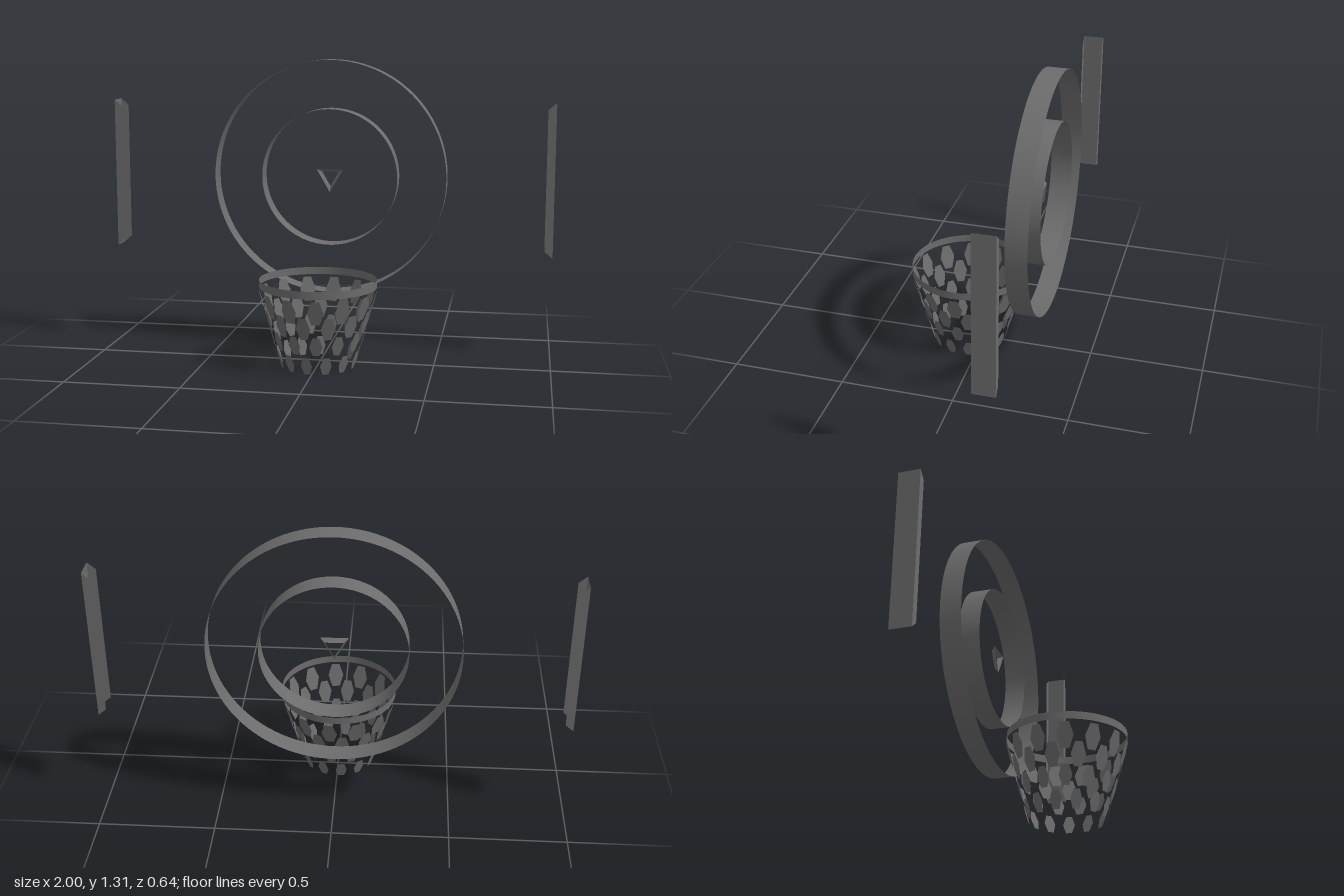
import * as THREE from 'three';

const GREY = 0x6c6c6c;
const smooth = new THREE.MeshStandardMaterial({ color: GREY, side: THREE.DoubleSide });
const faceted = new THREE.MeshStandardMaterial({ color: GREY, side: THREE.DoubleSide, flatShading: true });

function add(parent, name, geometry, material, x = 0, y = 0, z = 0) {
  const mesh = new THREE.Mesh(geometry, material);
  mesh.name = name;
  mesh.position.set(x, y, z);
  parent.add(mesh);
  return mesh;
}

function addGroup(parent, name) {
  const group = new THREE.Group();
  group.name = name;
  parent.add(group);
  return group;
}

// Thin open band around the y axis
const band = (radius, depth) => new THREE.CylinderGeometry(radius, radius, depth, 96, 1, true);

const FRONT = -0.228, BACK = -0.321, MID = (FRONT + BACK) / 2, DEPTH = FRONT - BACK;
const CENTRE_Y = 0.785;
const BASKET_Z = 0.065;

// Upright rings with a small tapered triangle in the middle
function addTarget(root) {
  const target = addGroup(root, 'target');
  for (const [name, radius] of [['outerRing', 0.527], ['innerRing', 0.308]]) {
    add(target, name, band(radius, DEPTH).rotateX(Math.PI / 2), smooth, 0, CENTRE_Y, MID);
  }
  const triangle = new THREE.CylinderGeometry(0.069, 0.044, 0.02, 3, 1, true).rotateX(Math.PI / 2);
  add(target, 'centreTriangle', triangle, faceted, 0, CENTRE_Y, -0.258);
}

// Side rail: tall outer panel with two tapered cheeks, open inwards
function addRail(root, name, side) {
  const rail = addGroup(root, name);
  const half = 0.34, innerHalf = 0.31, inset = 0.035;
  const panel = new THREE.PlaneGeometry(DEPTH, half * 2).rotateY(side * Math.PI / 2);
  add(rail, 'outerPanel', panel, faceted, side, CENTRE_Y, MID);
  const cheek = new THREE.ShapeGeometry(new THREE.Shape([
    new THREE.Vector2(0, -half),
    new THREE.Vector2(0, half),
    new THREE.Vector2(-side * inset, innerHalf),
    new THREE.Vector2(-side * inset, -innerHalf),
  ]));
  add(rail, 'frontCheek', cheek, faceted, side, CENTRE_Y, FRONT);
  add(rail, 'backCheek', cheek, faceted, side, CENTRE_Y, BACK);
}

// Hoop with a net of staggered hexagonal plates lying on a cone
function addBasket(root) {
  const basket = addGroup(root, 'basket');
  basket.position.z = BASKET_Z;
  add(basket, 'hoop', band(0.255, 0.033), smooth, 0, 0.365, 0);

  const count = 13, slope = 0.28;
  const rows = [ // centre height, plate height, plate width
    [0.285, 0.104, 0.07],
    [0.212, 0.098, 0.063],
    [0.131, 0.083, 0.056],
    [0.039, 0.078, 0.05],
  ];
  rows.forEach(([y, height, width], row) => {
    const net = addGroup(basket, 'netRow' + (row + 1));
    const radius = 0.161 + slope * y;
    const plate = new THREE.CircleGeometry(1, 6)
      .scale(width / 2, height / Math.sqrt(3) * Math.sqrt(1 + slope * slope), 1)
      .rotateX(Math.atan(slope));
    for (let i = 0; i < count; i++) {
      const a = Math.PI / 2 + (i + (row % 2) / 2) * 2 * Math.PI / count;
      const mesh = add(net, 'netPlate', plate, faceted, Math.sin(a) * radius, y, Math.cos(a) * radius);
      mesh.rotation.y = a;
    }
  });
}

export function createModel() {
  const root = new THREE.Group();
  root.name = 'hoopAndTarget';
  addTarget(root);
  addRail(root, 'leftRail', 1);
  addRail(root, 'rightRail', -1);
  addBasket(root);
  return root;
}
